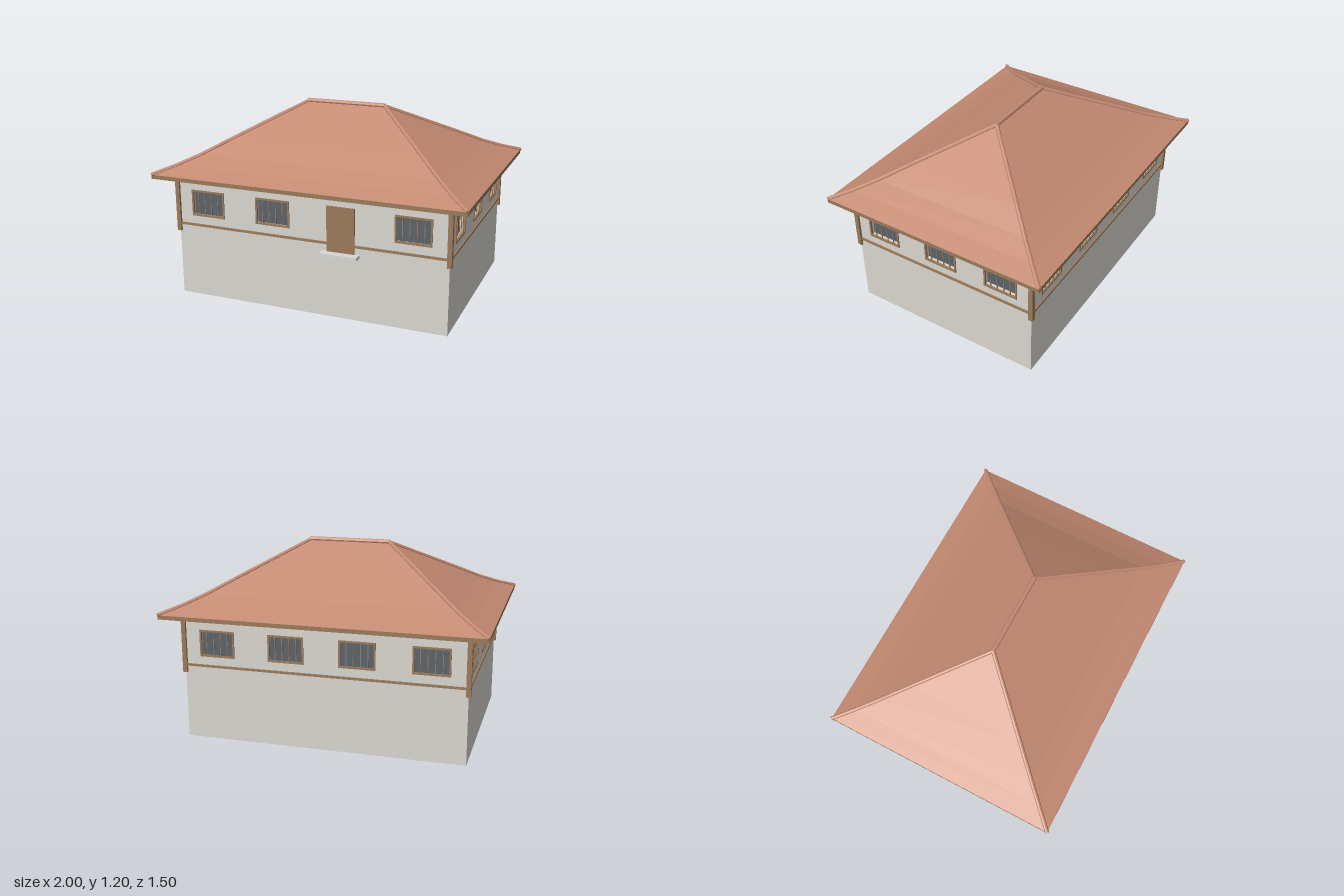
import * as THREE from 'three';

const mat = (name, color, extra = {}) => Object.assign(new THREE.MeshStandardMaterial({ color, ...extra }), { name });

export function createModel() {
  const plaster = mat('plaster', 0xd9d6cf, { side: THREE.DoubleSide });
  const tile = mat('roof tile', 0xc48a72, { side: THREE.DoubleSide, flatShading: true });
  const timber = mat('timber', 0x9a7a5a);
  const glass = mat('glass', 0x59626b, { side: THREE.DoubleSide });
  const stone = mat('stone', 0xd8d8d6);

  const house = new THREE.Group();
  house.name = 'house';
  const HX = 0.875, HZ = 0.627, TOP = 0.785;       // wall half sizes and height
  const WW = 0.22, WH = 0.163, WY = 0.612;         // window size and centre height

  const add = (parent, name, geo, material, x = 0, y = 0, z = 0) => {
    const m = new THREE.Mesh(geo, material);
    m.name = name;
    m.position.set(x, y, z);
    parent.add(m);
    return m;
  };
  const box = (parent, name, material, w, h, d, x, y, z) =>
    add(parent, name, new THREE.BoxGeometry(w, h, d), material, x, y, z);
  const rect = (Type, x, y, w, h) => {
    const a = w / 2, b = h / 2;
    return new Type([[-a, -b], [a, -b], [a, b], [-a, b]].map(([u, v]) => new THREE.Vector2(x + u, y + v)));
  };

  // Window: recessed niche with glass, frame and bars on the wall plane
  function windowUnit(x) {
    const g = new THREE.Group();
    g.name = 'window';
    g.position.set(x, WY, 0);
    const deep = 0.03;
    for (const s of [-1, 1]) {
      box(g, 'nicheSide', plaster, 0.002, WH, deep, s * WW / 2, 0, -deep / 2);
      box(g, 'nicheEdge', plaster, WW, 0.002, deep, 0, s * WH / 2, -deep / 2);
    }
    add(g, 'pane', new THREE.PlaneGeometry(WW, WH), glass, 0, 0, -deep);
    const ring = rect(THREE.Shape, 0, 0, WW + 0.004, WH + 0.004);
    ring.holes.push(rect(THREE.Path, 0, 0, WW - 0.018, WH - 0.018));
    add(g, 'windowFrame', new THREE.ExtrudeGeometry(ring, { depth: 0.012, bevelEnabled: false }), timber, 0, 0, -0.006);
    for (let i = 1; i < 5; i++)
      box(g, 'windowBar', timber, 0.005, WH - 0.018, 0.005, -WW / 2 + WW * i / 5, 0, 0);
    return g;
  }

  // One side of the house, facing local +z
  function side(name, half, dist, angle, windows) {
    const g = new THREE.Group();
    g.name = name;
    const shape = rect(THREE.Shape, 0, TOP / 2, half * 2, TOP);
    for (const x of windows) {
      shape.holes.push(rect(THREE.Path, x, WY, WW, WH));
      g.add(windowUnit(x));
    }
    add(g, 'wall', new THREE.ShapeGeometry(shape), plaster);
    box(g, 'rail', timber, half * 2, 0.014, 0.018, 0, 0.469, 0);
    const pivot = new THREE.Group();
    pivot.name = name + 'Side';
    g.position.z = dist;
    pivot.rotation.y = angle;
    pivot.add(g);
    house.add(pivot);
    return g;
  }
  const front = side('front', HX, HZ, 0, [-0.665, -0.225, 0.66]);
  side('back', HX, HZ, Math.PI, [-0.66, -0.22, 0.22, 0.66]);
  for (const s of [-1, 1])
    side(s > 0 ? 'left' : 'right', HZ, HX, s * Math.PI / 2, [-0.42, 0, 0.42]);

  // Door and step
  box(front, 'door', timber, 0.175, 0.28, 0.02, 0.217, 0.56, 0);
  box(front, 'doorStep', stone, 0.235, 0.02, 0.08, 0.217, 0.41, 0.018);

  // Corner posts
  for (const sx of [-1, 1]) for (const sz of [-1, 1])
    box(house, 'cornerPost', timber, 0.028, 0.36, 0.028, sx * HX, 0.6, sz * HZ);

  // Eave board and soffit
  box(house, 'eaveBoard', timber, 1.98, 0.025, 1.48, 0, 0.784, 0);

  // Hipped roof: rectangles shrinking to the ridge, slightly concave
  const profile = [[0, 0], [0.15, 0.042], [0.3, 0.094], [0.5, 0.178], [1, 0.382]];
  const rings = profile.map(([t, h]) => ({ x: 0.99 - 0.73 * t, z: 0.74 * (1 - t), y: 0.797 + h }));
  const corner = (r, k) => {
    const [sx, sz] = [[-1, 1], [1, 1], [1, -1], [-1, -1]][k % 4];
    return new THREE.Vector3(sx * r.x, r.y, sz * r.z);
  };
  const tris = [];
  for (let i = 0; i < rings.length - 1; i++)
    for (let k = 0; k < 4; k++) {
      const a = corner(rings[i], k), b = corner(rings[i], k + 1);
      const c = corner(rings[i + 1], k + 1), d = corner(rings[i + 1], k);
      tris.push(a, b, c);
      if (c.distanceTo(d) > 1e-6) tris.push(a, c, d);
    }
  const roofGeo = new THREE.BufferGeometry().setFromPoints(tris);
  roofGeo.computeVertexNormals();
  add(house, 'roof', roofGeo, tile);

  // Rounded caps on hips and ridge
  function cap(name, a, b, r) {
    const dir = b.clone().sub(a);
    const m = add(house, name, new THREE.CylinderGeometry(r, r, dir.length(), 8), tile);
    m.position.copy(a).addScaledVector(dir, 0.5);
    m.quaternion.setFromUnitVectors(new THREE.Vector3(0, 1, 0), dir.normalize());
  }
  for (let k = 0; k < 4; k++)
    for (let i = 0; i < rings.length - 1; i++)
      cap('hipCap', corner(rings[i], k), corner(rings[i + 1], k), 0.013);
  cap('ridgeCap', new THREE.Vector3(-0.262, 1.182, 0), new THREE.Vector3(0.262, 1.182, 0), 0.015);

  return house;
}
